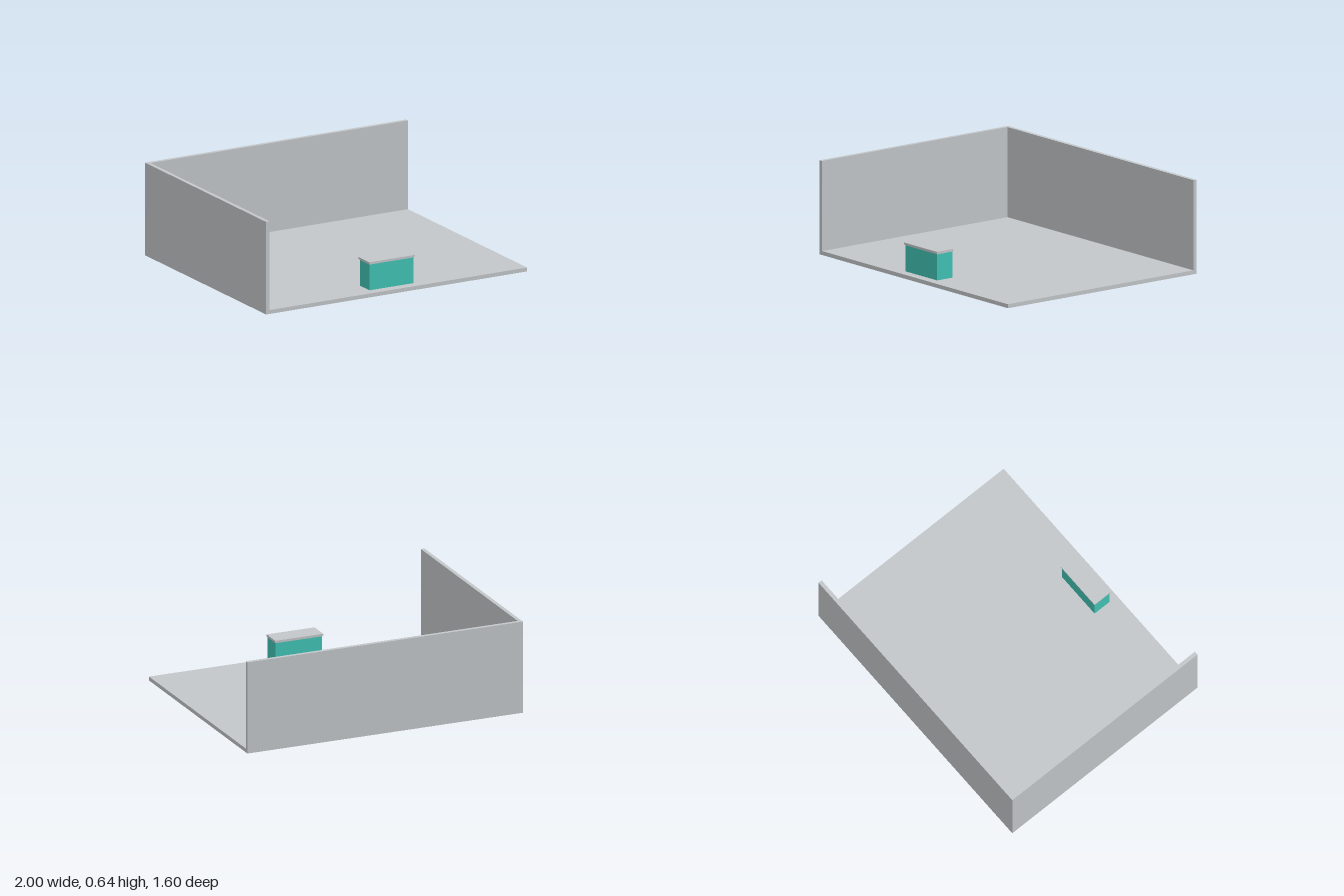
import * as THREE from 'three';

export function createModel() {
  const group = new THREE.Group();
  const grey = new THREE.MeshStandardMaterial({ color: 0xc3c7ca });
  grey.name = 'light grey';
  const teal = new THREE.MeshStandardMaterial({ color: 0x42c3b5 });
  teal.name = 'teal';

  // Box given by its minimum and maximum corners
  const box = (name, material, min, max) => {
    const size = max.map((v, i) => v - min[i]);
    const mesh = new THREE.Mesh(new THREE.BoxGeometry(...size), material);
    mesh.position.set(...max.map((v, i) => (v + min[i]) / 2));
    mesh.name = name;
    group.add(mesh);
  };

  const t = 0.027; // thickness of floor and walls
  const h = 0.64;

  // Room shell, open at the front and on one side
  box('floor', grey, [-1, 0, -0.8], [1, t, 0.8]);
  box('backWall', grey, [-1, t, -0.8], [1, h, -0.8 + t]);
  box('sideWall', grey, [-1, t, -0.8 + t], [-1 + t, h, 0.8]);

  // Counter with a stepped, slightly overhanging top
  box('counterBody', teal, [-0.17, t, 0.606], [0.168, 0.205, 0.735]);
  box('counterTopStep', grey, [-0.172, 0.205, 0.604], [0.17, 0.211, 0.737]);
  box('counterTop', grey, [-0.176, 0.211, 0.6], [0.173, 0.223, 0.742]);

  return group;
}
